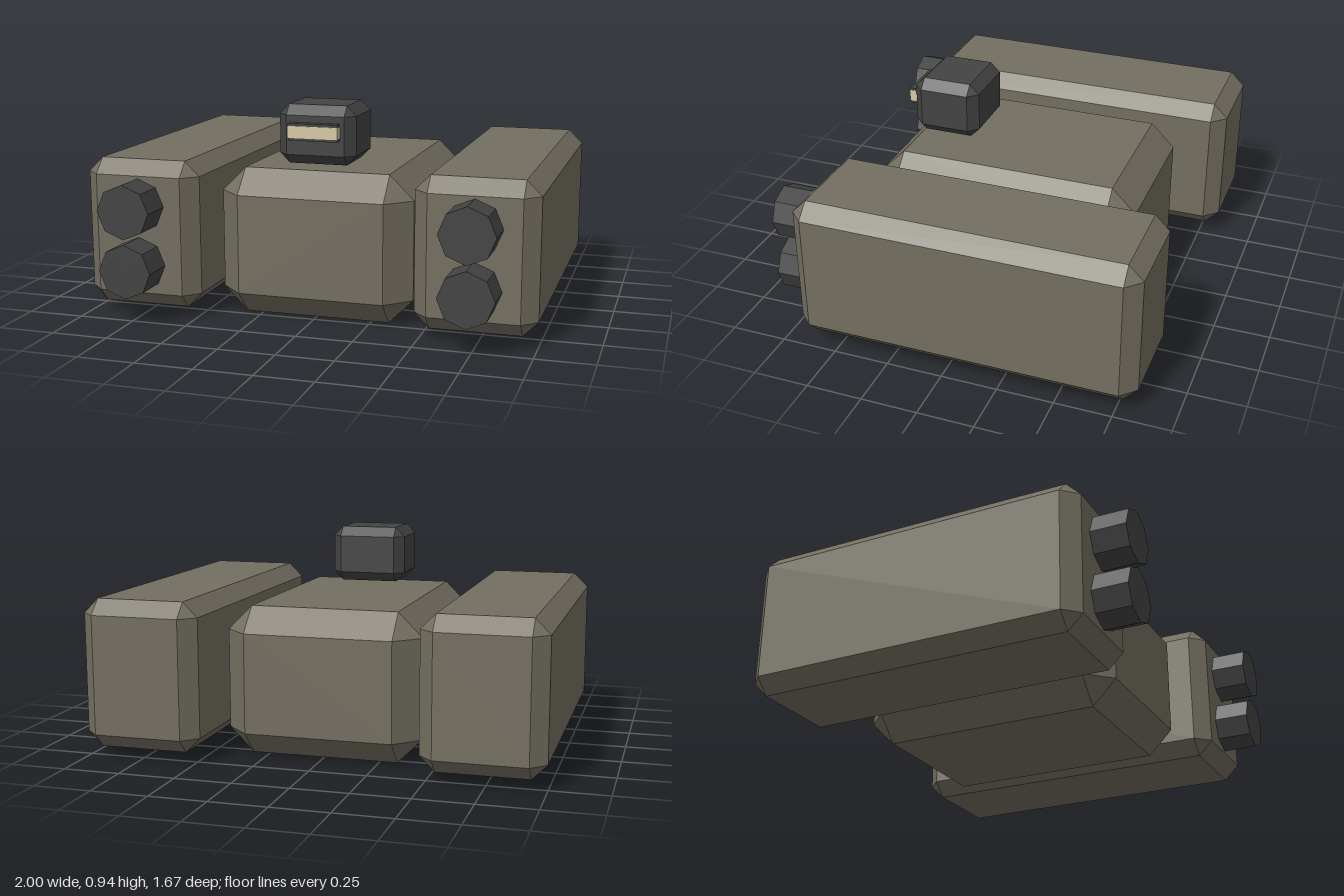
import * as THREE from 'three';
import { ConvexGeometry } from 'three/addons/geometries/ConvexGeometry.js';

// Box between two corners with every edge bevelled by c
function bevelBox(min, max, c) {
  const half = max.map((v, i) => (v - min[i]) / 2);
  const mid = max.map((v, i) => (v + min[i]) / 2);
  const points = [];
  for (const sx of [-1, 1]) for (const sy of [-1, 1]) for (const sz of [-1, 1]) {
    const s = [sx, sy, sz];
    for (let face = 0; face < 3; face++) {
      const p = s.map((v, i) => mid[i] + v * (half[i] - (i === face ? 0 : c)));
      points.push(new THREE.Vector3(...p));
    }
  }
  return new ConvexGeometry(points);
}

export function createModel() {
  const model = new THREE.Group();
  model.name = 'twinPodUnit';

  const material = (name, color) => {
    const m = new THREE.MeshStandardMaterial({ color });
    m.name = name;
    return m;
  };
  const olive = material('olive grey', 0x736e60);
  const dark = material('charcoal', 0x434344);
  const cream = material('cream', 0xd6c9a4);

  const add = (name, geometry, mat, x = 0, y = 0, z = 0, parent = model) => {
    const mesh = new THREE.Mesh(geometry, mat);
    mesh.name = name;
    mesh.position.set(x, y, z);
    parent.add(mesh);
    return mesh;
  };

  // Central hull
  add('body', bevelBox([-0.435, 0, -0.635], [0.435, 0.655, 0.56], 0.108), olive);

  // Floating head with a lit slit in a dark visor
  const head = new THREE.Group();
  head.name = 'head';
  model.add(head);
  add('headShell', bevelBox([-0.173, 0.68, 0.163], [0.173, 0.938, 0.47], 0.043), dark, 0, 0, 0, head);
  add('visorFrame', new THREE.BoxGeometry(0.22, 0.074, 0.06), dark, 0, 0.828, 0.479, head);
  add('visorSlit', new THREE.BoxGeometry(0.224, 0.052, 0.06), cream, 0, 0.828, 0.482, head);

  // Side pods, each with two stacked octagonal barrels
  for (const side of [-1, 1]) {
    const pod = new THREE.Group();
    pod.name = side > 0 ? 'leftPod' : 'rightPod';
    pod.position.x = side * 0.739;
    model.add(pod);
    add('podHull', bevelBox([-0.261, 0.046, -0.838], [0.261, 0.697, 0.682], 0.065), olive, 0, 0, 0, pod);
    for (const y of [0.242, 0.502]) {
      const geometry = new THREE.CylinderGeometry(0.119, 0.119, 0.2, 8).rotateX(Math.PI / 2);
      add('barrel', geometry, dark, 0, y, 0.736, pod).geometry = geometry.toNonIndexed();
    }
  }

  // Hard facets on the barrels
  model.traverse((o) => {
    if (o.name === 'barrel') o.geometry.computeVertexNormals();
  });

  return model;
}
